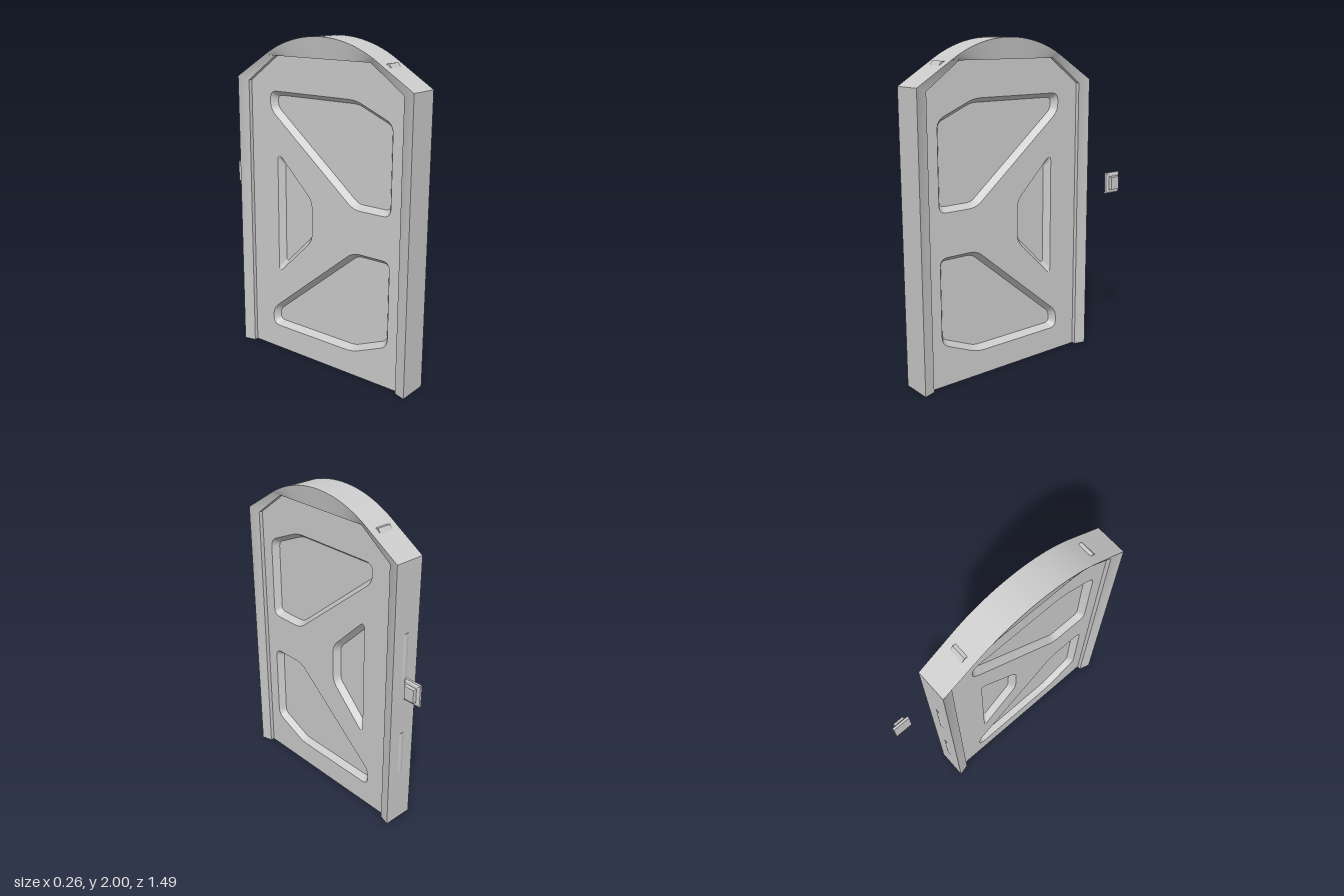
import * as THREE from 'three';
import { toCreasedNormals } from 'three/addons/utils/BufferGeometryUtils.js';

const grey = new THREE.MeshStandardMaterial({ color: 0xcccccc });
const greySheet = new THREE.MeshStandardMaterial({ color: 0xcccccc, side: THREE.DoubleSide });
const V = (x, y) => new THREE.Vector2(x, y);

// Door dimensions (profiles are drawn with u = -z across, y up)
const X0 = -0.133, X1 = 0.06, MID = (X0 + X1) / 2;
const HALF = (X1 - X0) / 2, LIP = HALF - 0.02, PANEL = HALF - 0.045, FLOOR = PANEL - 0.04;
const CENTRE = -0.119, WIDTH = 0.626;

function mesh(name, geometry, material = grey) {
  const m = new THREE.Mesh(geometry, material);
  m.name = name;
  return m;
}

// Moves each edge of a counter-clockwise polygon inwards by d
function inset(points, d) {
  const n = points.length;
  return points.map((p, i) => {
    const a = p.clone().sub(points[(i + n - 1) % n]).normalize();
    const b = points[(i + 1) % n].clone().sub(p).normalize();
    const n1 = V(-a.y, a.x), n2 = V(-b.y, b.x);
    return p.clone().addScaledVector(n1.clone().add(n2), d / (1 + n1.dot(n2)));
  });
}

// Rounds every corner of a polygon; always the same number of points per corner
function rounded(points, radius, steps = 6) {
  const n = points.length, out = [];
  points.forEach((p, i) => {
    const toward = (q) => {
      const e = q.clone().sub(p), len = e.length();
      return p.clone().addScaledVector(e, Math.min(radius, len * 0.45) / len);
    };
    const curve = new THREE.QuadraticBezierCurve(
      toward(points[(i + n - 1) % n]), p, toward(points[(i + 1) % n]));
    out.push(...curve.getPoints(steps));
  });
  return out;
}

function indexed(pos, index, crease) {
  const g = new THREE.BufferGeometry();
  g.setAttribute('position', new THREE.Float32BufferAttribute(pos, 3));
  g.setIndex(index);
  return toCreasedNormals(g, crease);
}

// Sloping wall between two loops of equal length
function wall(outer, zOuter, inner, zInner) {
  const pos = [], index = [], n = outer.length;
  for (let i = 0; i < n; i++) {
    pos.push(outer[i].x, outer[i].y, zOuter, inner[i].x, inner[i].y, zInner);
    const a = 2 * i, b = 2 * ((i + 1) % n);
    index.push(a, b, a + 1, b, b + 1, a + 1);
  }
  return indexed(pos, index, 0.6);
}

// Pocket outlines as [z, y], turned into counter-clockwise [u, y]
const upper = [[0.595, 1.56], [0.345, 1.667], [-0.285, 1.667], [-0.285, 1.555], [0.34, 1.04], [0.595, 1.04]];
const lower = upper.map(([z, y]) => [z, 1.82 - y]);
const middle = [[-0.232, 1.3], [0.035, 1.035], [0.035, 0.785], [-0.232, 0.52]];
const pockets = [upper, lower, middle].map((list) => {
  const pts = list.map(([z, y]) => V(-z, y));
  return THREE.ShapeUtils.isClockWise(pts) ? pts.reverse() : pts;
});

// Panel outline: chamfered top corners
const panelOutline = [[-0.555, 0], [0.555, 0], [0.555, 1.72], [0.34, 1.877], [-0.34, 1.877], [-0.555, 1.72]]
  .map(([u, y]) => V(CENTRE + u, y));

// Frame swept from foot to foot: its faces slope from the outer edge in to a lip
function buildFrame() {
  const pairs = [[WIDTH, 0, 0.555, 0], [WIDTH, 1.742, 0.555, 1.72]];
  const R = 0.742, end = Math.asin(0.4 / R), steps = 28;
  for (let i = 0; i <= steps; i++) {
    const t = 1 - 2 * i / steps;
    pairs.push([R * Math.sin(end * t), 2 - R + R * Math.cos(end * t), 0.34 * t, 1.877]);
  }
  pairs.push([-WIDTH, 1.742, -0.555, 1.72], [-WIDTH, 0, -0.555, 0]);

  const pos = [], index = [];
  pairs.forEach(([ou, oy, iu, iy], i) => {
    const o = CENTRE + ou, n = CENTRE + iu;
    pos.push(o, oy, -HALF, o, oy, HALF, n, iy, LIP, n, iy, -LIP);
    if (i === 0) return;
    for (let k = 0; k < 4; k++) {
      const a = 4 * (i - 1) + k, b = 4 * (i - 1) + (k + 1) % 4;
      index.push(a, a + 4, b, b, a + 4, b + 4);
    }
  });
  const e = 4 * (pairs.length - 1);
  index.push(0, 1, 2, 0, 2, 3, e, e + 2, e + 1, e, e + 3, e + 2);
  return mesh('archedFrame', indexed(pos, index, 0.5));
}

function buildPanelSide(dir) {
  const side = new THREE.Group();
  side.name = dir > 0 ? 'leftPanelFace' : 'rightPanelFace';
  const face = new THREE.Shape(panelOutline);
  pockets.forEach((p) => {
    const rim = rounded(p, 0.05), floor = rounded(inset(p, 0.028), 0.033);
    face.holes.push(new THREE.Path(rim));
    side.add(mesh('pocketWall', wall(rim, dir * PANEL, floor, dir * FLOOR), greySheet));
    const base = new THREE.ShapeGeometry(new THREE.Shape(floor));
    side.add(mesh('pocketFloor', base.translate(0, 0, dir * FLOOR), greySheet));
  });
  const sheet = new THREE.ShapeGeometry(face);
  side.add(mesh('panelSheet', sheet.translate(0, 0, dir * PANEL), greySheet));
  return side;
}

// Wedge with a level top and a steep outer face, sitting on a sloping shoulder
function buildCatch(s) {
  const profile = [[0.405, 1.872], [0.434, 1.876], [0.458, 1.842], [0.42, 1.83]];
  const shape = new THREE.Shape(profile.map(([u, y]) => V(CENTRE + s * u, y)));
  const g = new THREE.ExtrudeGeometry(shape, { depth: 0.09, bevelEnabled: false });
  return mesh('topCatch', g.translate(0, 0, -0.043));
}

// Square-based block tapering towards +x
function taperedBlock(name, x, depth, h, w, taper) {
  const g = new THREE.BoxGeometry(depth, h, w);
  const p = g.attributes.position;
  for (let i = 0; i < p.count; i++) {
    if (p.getX(i) > 0) {
      p.setY(i, p.getY(i) - Math.sign(p.getY(i)) * taper);
      p.setZ(i, p.getZ(i) - Math.sign(p.getZ(i)) * taper);
    }
  }
  g.computeVertexNormals();
  const m = mesh(name, g);
  m.position.x = x + depth / 2;
  return m;
}

export function createModel() {
  const model = new THREE.Group();
  model.name = 'archedDoor';

  // Door leaf: frame and recessed panel with pockets on both sides
  const door = new THREE.Group();
  door.name = 'door';
  door.rotation.y = Math.PI / 2;
  door.position.x = MID;
  door.add(buildFrame(), buildPanelSide(1), buildPanelSide(-1), buildCatch(1), buildCatch(-1));
  const sill = mesh('panelBottom', new THREE.BoxGeometry(1.11, 0.02, 2 * PANEL - 0.002));
  sill.position.set(CENTRE, 0.01, 0);
  door.add(sill);
  model.add(door);

  // Shallow rounded hinge plates, mostly sunk into the back edge
  for (const y of [1.165, 0.5]) {
    const p = mesh('hingePlate', new THREE.CylinderGeometry(0.0425, 0.0425, 0.295, 32));
    p.position.set(MID, y, -0.507 + 0.0385);
    model.add(p);
  }

  // Separate push button beside the door
  const button = new THREE.Group();
  button.name = 'pushButton';
  button.add(
    taperedBlock('buttonPlate', 0.089, 0.014, 0.134, 0.112, 0),
    taperedBlock('buttonBevel', 0.103, 0.007, 0.134, 0.112, 0.011),
    taperedBlock('buttonCap', 0.11, 0.019, 0.086, 0.072, 0.003));
  button.position.set(0, 1.073, -0.689);
  model.add(button);

  return model;
}
